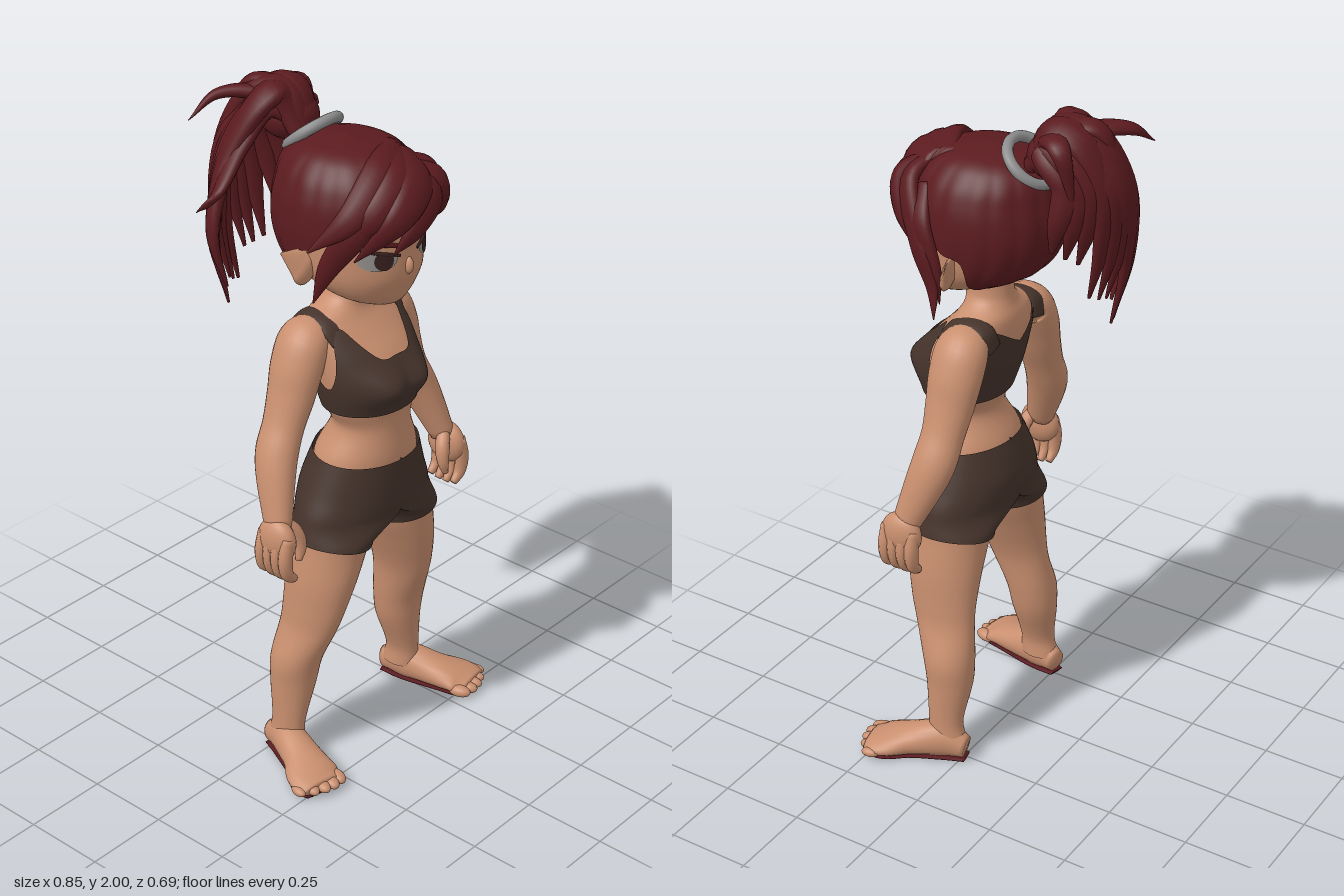
import * as THREE from 'three';

const material = (name, color, side = THREE.FrontSide) => {
  const m = new THREE.MeshStandardMaterial({ color, side });
  m.name = name;
  return m;
};

// Smooth lookup of a table whose rows are [key, value, value, ...]
function sample(table, k) {
  const n = table.length;
  let i = 0;
  while (i < n - 2 && k > table[i + 1][0]) i++;
  const a = table[i], b = table[i + 1], h = b[0] - a[0];
  const t = Math.min(1, Math.max(0, (k - a[0]) / h)), t2 = t * t, t3 = t2 * t;
  const slope = (j, c) => {
    const p = table[Math.max(0, j - 1)], q = table[Math.min(n - 1, j + 1)];
    return (q[c] - p[c]) / (q[0] - p[0]);
  };
  return a.slice(1).map((v, j) => v + (3 * t2 - 2 * t3) * (b[j + 1] - v)
    + (t3 - 2 * t2 + t) * h * slope(i, j + 1) + (t3 - t2) * h * slope(i + 1, j + 1));
}

function meshFrom(name, mat, pos, index) {
  const g = new THREE.BufferGeometry();
  g.setAttribute('position', new THREE.Float32BufferAttribute(pos, 3));
  g.setIndex(index);
  g.computeVertexNormals();
  const m = new THREE.Mesh(g, mat);
  m.name = name;
  return m;
}

// Surface wrapped round the y axis; its lower and upper edges are functions of the angle
function shell(name, mat, fn, lo, hi, nu = 64, nv = 40) {
  const pos = [], index = [];
  for (let j = 0; j <= nv; j++) for (let i = 0; i < nu; i++) {
    const a = (i / nu * 2 - 1) * Math.PI, y0 = lo(a);
    pos.push(...fn(a, y0 + (hi(a) - y0) * j / nv));
    if (j < nv) {
      const p = j * nu + i, q = j * nu + (i + 1) % nu;
      index.push(p, q, q + nu, p, q + nu, p + nu);
    }
  }
  return meshFrom(name, mat, pos, index);
}

// Sweep through points [x, y, z, half width, half thickness]; thickness points along ref(p)
function sweep(name, mat, pts, ref, minY = -1, seg = 24, nr = 12) {
  const curve = f => new THREE.CatmullRomCurve3(pts.map(f), false, 'catmullrom');
  const path = curve(p => new THREE.Vector3(p[0], p[1], p[2]));
  const size = curve(p => new THREE.Vector3(p[3], p[4], 0));
  const pos = [], index = [];
  const add = v => pos.push(v.x, Math.max(minY, v.y), v.z);
  for (let j = 0; j <= seg; j++) {
    const c = path.getPoint(j / seg), T = path.getTangent(j / seg), s = size.getPoint(j / seg), r = ref(c);
    const N = r.clone().addScaledVector(T, -r.dot(T)).normalize();
    const B = T.clone().cross(N);
    for (let k = 0; k < nr; k++) {
      const th = k / nr * Math.PI * 2;
      add(c.clone().addScaledVector(N, Math.cos(th) * Math.max(s.y, 0.001))
        .addScaledVector(B, Math.sin(th) * Math.max(s.x, 0.001)));
      const p = j * nr + k, q = j * nr + (k + 1) % nr;
      if (j < seg) index.push(p, q, p + nr, q, q + nr, p + nr);
    }
  }
  const end = pos.length / 3;
  add(path.getPoint(0)); add(path.getPoint(1));
  for (let k = 0; k < nr; k++) {
    const k1 = (k + 1) % nr;
    index.push(end, k1, k, end + 1, seg * nr + k, seg * nr + k1);
  }
  return meshFrom(name, mat, pos, index);
}
const along = (x, y, z) => () => new THREE.Vector3(x, y, z);
const awayFrom = (x, y, z) => p => p.clone().sub(new THREE.Vector3(x, y, z)).normalize();

// Adds sizes to bare points: full in the first half, then narrowing to the tip
const taper = (pts, w, t, tip = .05) => pts.map(([x, y, z], i) => {
  const k = tip + (1 - tip) * Math.sin(Math.PI * (0.25 + 0.75 * i / (pts.length - 1)));
  return [x, y, z, w * k, t * k];
});

function ball(name, mat, p, r, turn = 0) {
  const m = new THREE.Mesh(new THREE.SphereGeometry(1, 24, 16), mat);
  m.name = name; m.position.set(...p); m.scale.set(...r); m.rotation.y = turn;
  return m;
}

// Body rows: y, half width, centre z, half depth
const TORSO = [[.92, .17, .12, .13], [.97, .16, .125, .128], [1.06, .12, .142, .105], [1.12, .143, .135, .115],
  [1.2, .16, .13, .138], [1.28, .168, .1, .125], [1.34, .17, .07, .1], [1.38, .148, .055, .08],
  [1.405, .095, .055, .07], [1.435, .067, .06, .068], [1.52, .064, .062, .068]];
const PELVIS = [[.7, .25, .11, .135], [.8, .238, .111, .148], [.87, .21, .111, .151], [.93, .186, .118, .143],
  [.975, .168, .125, .134]];
const HEAD = [[1.432, .01, .185, .01], [1.438, .05, .18, .05], [1.455, .1, .155, .088], [1.485, .143, .13, .125],
  [1.53, .174, .095, .175], [1.6, .188, .07, .2], [1.68, .19, .06, .205], [1.76, .176, .06, .193],
  [1.82, .142, .055, .165], [1.855, .09, .052, .105], [1.87, .004, .05, .004]];
// Leg rows: y, centre x, half width, centre z, half depth
const LEG = [[.06, .26, .044, .05, .06], [.12, .259, .042, .057, .054], [.25, .236, .066, .056, .07],
  [.33, .229, .073, .063, .078], [.44, .206, .064, .09, .094], [.5, .195, .07, .1, .102],
  [.6, .172, .088, .108, .114], [.7, .145, .102, .11, .122], [.78, .135, .1, .112, .132], [.87, .11, .085, .112, .13]];

const round = (table, off = 0) => (a, y) => {
  const [rx, cz, rz] = sample(table, y);
  return [Math.sin(a) * (rx + off), y, cz + Math.cos(a) * (rz + off)];
};
const torso = off => (a, y) => {
  const [x, , z] = round(TORSO, off)(a, y);
  const bump = Math.exp(-(((Math.abs(x) - .07) / .055) ** 2) - (((y - 1.205) / .05) ** 2));
  return [x, y, z + .026 * bump * Math.max(0, Math.cos(a))];
};
const leg = (s, off = 0) => (a, y) => {
  const [cx, rx, cz, rz] = sample(LEG, y);
  return [s * cx + Math.sin(a) * (rx + off), y, cz + Math.cos(a) * (rz + off)];
};
// One half of the shorts: a leg section that blends upwards into half the pelvis
const shortsHalf = s => (a, y) => {
  const [lx, , lz] = leg(s, .012)(a, y), [px, , pz] = round(PELVIS)(a, y);
  const t = THREE.MathUtils.smoothstep(y, .715, .8), { lerp } = THREE.MathUtils;
  return [s * Math.max(0, lerp(s * lx, Math.max(0, s * px), t)), y, lerp(lz, pz, t)];
};
const faceZ = (x, y) => {
  const [rx, cz, rz] = sample(HEAD, y);
  return cz + rz * Math.sqrt(Math.max(0, 1 - (x / rx) ** 2));
};

// Thin disc laid on the face, cut by a slanted upper lid
function faceDisc(name, mat, s, cx, rx, ry, off) {
  const g = new THREE.RingGeometry(.001, 1, 28, 5), p = g.attributes.position;
  for (let i = 0; i < p.count; i++) {
    const x = s * cx + p.getX(i) * rx;
    const y = Math.min(1.596 + p.getY(i) * ry, 1.614 + (s * x - .085) * .3);
    p.setXYZ(i, x, y, faceZ(x, y) + off);
  }
  g.computeVertexNormals();
  const m = new THREE.Mesh(g, mat);
  m.name = name;
  return m;
}

export function createModel() {
  const root = new THREE.Group();
  const skin = material('skin', 0xc98f6f), hair = material('hair', 0x5b1b1f, THREE.DoubleSide);
  const cloth = material('cloth', 0x45332b, THREE.DoubleSide), band = material('hair tie', 0x8c8c8c);
  const white = material('eye white', 0x95928f), iris = material('iris', 0x38211f), sole = material('sole', 0x5a1a20);
  const add = (...m) => root.add(...m);

  // Torso, head and top; the top's edge dips at neck, armholes and back
  add(shell('torso', skin, torso(0), () => .92, () => 1.52, 64, 60));
  add(shell('head', skin, round(HEAD), () => 1.432, () => 1.87));
  add(ball('nose', skin, [0, 1.56, .266], [.014, .026, .02]));
  const topEdge = [[0, 1.28], [.35, 1.285], [.8, 1.365], [1.3, 1.24], [1.57, 1.2], [1.9, 1.25], [2.35, 1.36], [3.15, 1.3]];
  add(shell('sports top', cloth, torso(.008), () => 1.12, a => sample(topEdge, Math.abs(a))[0], 96));

  for (const s of [1, -1]) {
    const mir = pts => pts.map(([x, ...r]) => [s * x, ...r]);
    const strap = [[.122, 1.33, .138], [.132, 1.37, .1], [.134, 1.385, .045], [.128, 1.37, -.008], [.115, 1.32, -.024]];
    add(sweep('strap', cloth, mir(strap).map(p => [...p, .031, .008]), awayFrom(s * .11, 1.3, .05)));

    // Shorts, with the normals levelled along the middle seam
    const half = shell('shorts', cloth, shortsHalf(s), a => .712 + .02 * s * Math.sin(a), a => .968 - .008 * Math.cos(a), 64, 36);
    const { position, normal } = half.geometry.attributes;
    for (let i = 0; i < position.count; i++) if (Math.abs(position.getX(i)) < .001) normal.setX(i, 0);
    half.geometry.normalizeNormals();
    add(half);

    // Legs and feet
    add(shell('leg', skin, leg(s), () => .06, () => .737, 40, 48));
    const foot = [[.256, .04, -.012, .03, .035], [.272, .055, .06, .046, .058],
      [.303, .042, .15, .06, .046], [.335, .03, .22, .079, .031], [.344, .022, .268, .066, .019]];
    add(sweep('foot', skin, mir(foot), along(0, 1, 0), .008, 24, 20));
    add(sweep('sole', sole, mir(foot.map(([x, , z, w]) => [x, .004, z, w * .9, .004])), along(0, 1, 0), 0, 20, 10));
    for (let i = 0; i < 5; i++) {
      const z = .27 - .0045 * (i - 1) ** 2;
      add(ball('toe', skin, [s * (.284 + .031 * i), .022, z], [.021 - .001 * i, .018 - .001 * i, .036 - .002 * i], s * .25));
    }

    // Arms and hands
    const arm = [[.11, 1.335, .045, .045], [.165, 1.325, .045, .063], [.2, 1.26, .046, .065], [.228, 1.18, .048, .059],
      [.262, 1.1, .05, .052], [.296, 1.03, .056, .053], [.322, .96, .075, .048], [.358, .84, .115, .034]];
    add(sweep('arm', skin, mir(arm).map(p => [...p, p[3] * 1.22]), along(0, 0, 1), -1, 40, 24));
    add(ball('palm', skin, [s * .37, .81, .122], [.036, .066, .064]));
    for (let i = 0; i < 4; i++) {
      const z = .08 + .029 * i;
      const finger = [[.375, .83, z], [.387, .77, z], [.38, .72, z], [.35, .682 + .006 * Math.abs(i - 1.5), z]];
      add(sweep('finger', skin, taper(mir(finger), .023, .02, .5), along(0, 0, 1), -1, 14, 10));
    }
    const thumb = [[.347, .86, .13], [.32, .82, .147], [.313, .775, .156], [.323, .735, .158]];
    add(sweep('thumb', skin, taper(mir(thumb), .02, .022, .45), along(0, 0, 1), -1, 14, 10));

    // Pointed ears, eyes, lids and brows
    add(sweep('ear', skin, taper(mir([[.165, 1.555, .075], [.19, 1.565, .072], [.212, 1.582, .062], [.254, 1.613, .04]]), .056, .016),
      along(0, 0, 1), -1, 16, 12));
    add(faceDisc('eye white', white, s, .092, .048, .029, .004));
    add(faceDisc('iris', iris, s, .083, .025, .028, .007));
    const line = (name, mat, y, w) => {
      const pts = [.035, .075, .115, .155].map(x => [s * x, y + x * .3, faceZ(x, y + x * .3) + .004]);
      add(sweep(name, mat, taper(pts, w, .004), along(0, 0, 1), -1, 14, 8));
    };
    line('upper lid', iris, 1.59, .006);
    line('brow', hair, 1.618, .008);
  }

  // Hair cap with shallow grooves, closed at the crown
  const hairline = [[0, 1.73], [.7, 1.71], [1.45, 1.62], [1.75, 1.6], [2, 1.52], [2.5, 1.49], [3.15, 1.49]];
  add(shell('hair cap', hair, (a, y) => {
    const fade = Math.min(1, (1.87 - y) / .08), groove = .004 * Math.abs(Math.sin(a * 9)) * fade;
    const [x, , z] = round(HEAD, .013 * Math.min(1, fade * 8) + groove - .004 * (1 - Math.min(1, fade * 8)))(a, y);
    return [x, y + Math.max(0, y - 1.76) * .1, z];
  }, a => sample(hairline, Math.abs(a))[0], () => 1.87, 128));

  // Fringe and side locks
  const lock = (w, ...pts) => add(sweep('fringe lock', hair, taper(pts, w, .012 + w * .25), awayFrom(0, 1.65, .07)));
  lock(.055, [.09, 1.83, .18], [.01, 1.805, .285], [-.1, 1.73, .31], [-.165, 1.61, .22]);
  lock(.05, [.08, 1.84, .16], [-.03, 1.82, .265], [-.14, 1.74, .265], [-.195, 1.63, .17]);
  lock(.045, [.1, 1.81, .2], [.05, 1.765, .3], [-.03, 1.69, .315], [-.085, 1.625, .29]);
  lock(.055, [.09, 1.84, .15], [-.05, 1.835, .225], [-.175, 1.74, .22], [-.25, 1.64, .13]);
  lock(.042, [-.06, 1.81, .24], [-.16, 1.71, .23], [-.195, 1.59, .16], [-.205, 1.47, .11]);
  lock(.045, [.05, 1.83, .2], [.14, 1.775, .23], [.2, 1.63, .16], [.204, 1.51, .118], [.225, 1.425, .1]);
  lock(.045, [.04, 1.82, .22], [.11, 1.775, .275], [.162, 1.69, .245], [.185, 1.6, .18]);
  lock(.035, [.1, 1.8, .22], [.07, 1.76, .29], [.05, 1.72, .3], [.02, 1.675, .3]);
  lock(.035, [.14, 1.78, .18], [.198, 1.69, .155], [.205, 1.57, .11], [.195, 1.46, .1]);

  // Hair tie, tilted back
  const tie = new THREE.Mesh(new THREE.TorusGeometry(.078, .016, 12, 40), band);
  tie.name = 'hair tie';
  tie.position.set(0, 1.852, -.072);
  tie.rotation.x = -2.28;
  add(tie);

  // Ponytail: strands rise from the tie, arch over and hang to one side
  add(ball('ponytail core', hair, [-.005, 1.885, -.155], [.08, .07, .09]));
  const strand = (w, pts, tip) => add(sweep('ponytail strand', hair, taper(pts, w, w * .6, tip), awayFrom(-.04, 1.74, -.13), -1, 32));
  for (let i = 0; i < 12; i++) {
    const u = i / 11, x = .08 - .31 * u, z = -.2 - .1 * Math.sin(Math.PI * u);
    const y = 1.64 - .29 * Math.sin(2 * u) + .03 * (i % 3), drop = 1.88 - y, top = 1.915 + .014 * (i % 4);
    strand(.054, [[x * .15, 1.85, -.08], [x * .25 + .01, top, -.14], [x * .5 + .01, top - .02, z * .85],
      [x * .78, 1.88 - drop * .2, z * 1.05 - .01], [x * 1.12, 1.88 - drop * .62, z * 1.04], [x, y, z * .92]], .12);
  }
  strand(.042, [[-.02, 1.87, -.09], [-.08, 1.92, -.16], [-.16, 1.83, -.19], [-.25, 1.72, -.19], [-.335, 1.69, -.19]]);
  strand(.035, [[-.02, 1.88, -.1], [-.06, 1.945, -.2], [-.14, 1.945, -.29], [-.225, 1.885, -.32]]);
  strand(.036, [[.02, 1.87, -.09], [.04, 1.945, -.15], [.09, 1.93, -.22], [.07, 1.76, -.25]]);
  strand(.042, [[0, 1.87, -.1], [-.02, 1.955, -.17], [-.05, 1.945, -.27], [-.08, 1.7, -.32]]);
  return root;
}
